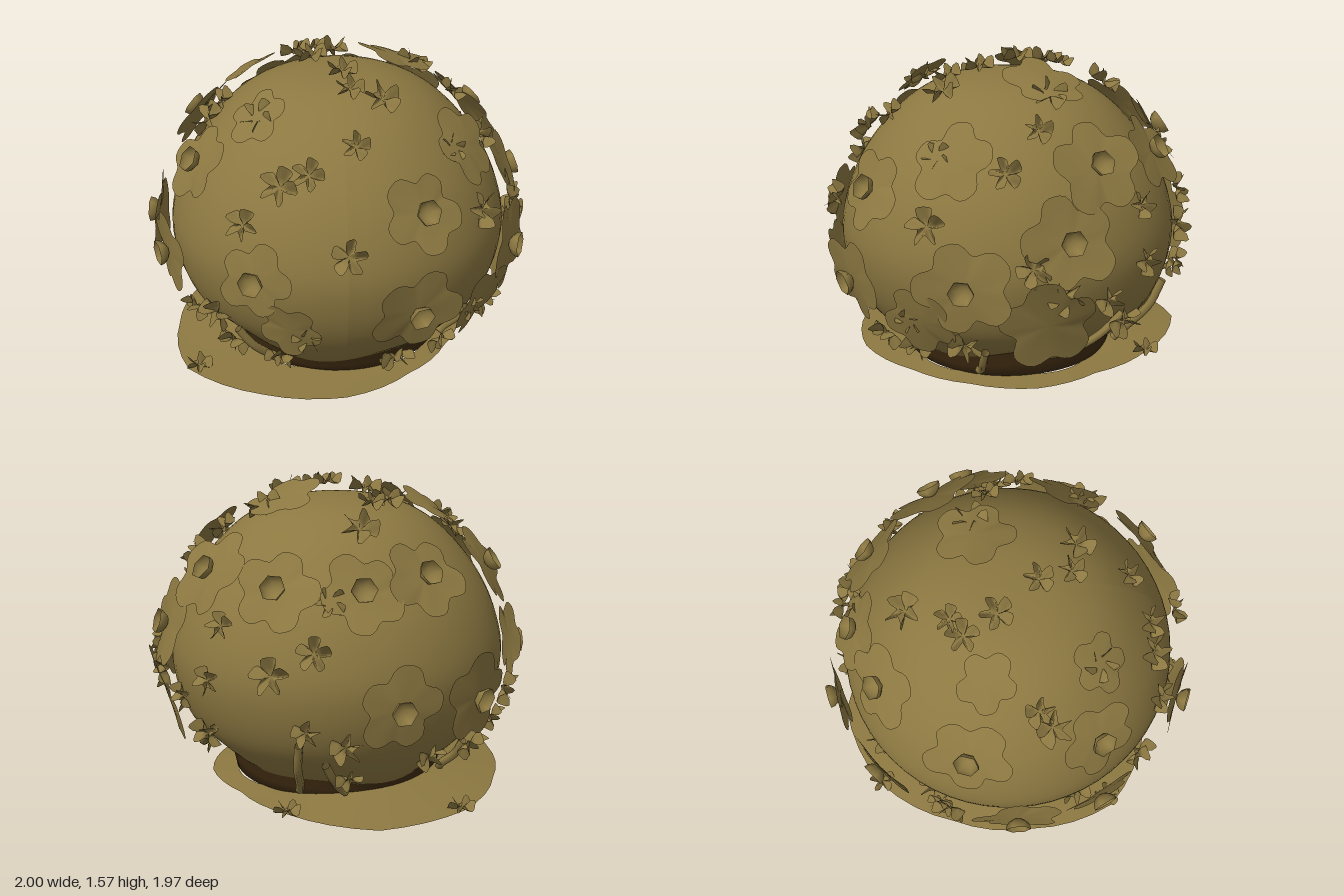
import * as THREE from 'three';

const olive = new THREE.MeshStandardMaterial({ name: 'olive gold', color: 0x8c7841, side: THREE.DoubleSide });
const soil = new THREE.MeshStandardMaterial({ name: 'dark soil', color: 0x402c11, side: THREE.DoubleSide });

// Dome profile (radius, height), bottom to top
const profile = new THREE.SplineCurve([
  [0.58, 0.13], [0.67, 0.21], [0.79, 0.36], [0.86, 0.55], [0.87, 0.75], [0.795, 0.99],
  [0.66, 1.2], [0.48, 1.37], [0.26, 1.465], [0, 1.49],
].map(p => new THREE.Vector2(...p))).getPoints(45);
profile.at(-1).x = 0;

// Radius and outward slope of the dome at a height
function slice(y) {
  let i = profile.findIndex(p => p.y >= y);
  if (i < 0) i = profile.length - 1;
  i = Math.max(i, 1);
  const a = profile[i - 1], b = profile[i];
  const t = THREE.MathUtils.clamp((y - a.y) / (b.y - a.y), 0, 1);
  const n = new THREE.Vector2(b.y - a.y, a.x - b.x).normalize();
  return { r: a.x + (b.x - a.x) * t, n };
}

function surface(az, y, off) {
  const { r, n } = slice(y);
  const normal = new THREE.Vector3(n.x * Math.sin(az), n.y, n.x * Math.cos(az));
  const point = new THREE.Vector3(r * Math.sin(az), y, r * Math.cos(az)).addScaledVector(normal, off);
  return { point, normal };
}

// Placement helpers, each giving [azimuth, height on the dome] under a floating flower
const foot = y => y - 0.06 * slice(y).n.y;
const ratio = (v, y) => THREE.MathUtils.clamp(v / (slice(foot(y)).r + 0.06 * slice(y).n.x), -1, 1);
const front = (x, y) => [Math.asin(ratio(x, y)), foot(y)];
const back = (x, y) => [Math.PI - Math.asin(ratio(x, y)), foot(y)];
const side = (z, y) => [Math.acos(ratio(z, y)), foot(y)];
function top(x, z) {
  const r = Math.hypot(x, z) * 0.91;
  const p = profile.find(q => q.y > 0.76 && q.x <= r) || profile.at(-1);
  return [Math.atan2(x, z), p.y];
}

// Five-petalled sheet facing +z: outline(angle) is the rim, height(t, angle) the folding
function petals(outline, height, rings, segments) {
  const pos = [0, 0, height(0, 0)], idx = [];
  for (let k = 1; k <= rings; k++) {
    for (let j = 0; j < segments; j++) {
      const a = (j / segments) * Math.PI * 2, t = k / rings, r = t * outline(a);
      pos.push(r * Math.cos(a), r * Math.sin(a), height(t, a));
      const n = (j + 1) % segments, o = 1 + (k - 1) * segments, i = o - segments;
      if (k === 1) idx.push(0, o + j, o + n);
      else idx.push(i + j, o + j, o + n, i + j, o + n, i + n);
    }
  }
  const g = new THREE.BufferGeometry();
  g.setAttribute('position', new THREE.Float32BufferAttribute(pos, 3));
  g.setIndex(idx);
  g.computeVertexNormals();
  return g;
}

// 0 along each petal, 1 in the gap between two
const gap = a => 0.5 - 0.5 * Math.cos(5 * a);
const largePetals = petals(
  a => 1.03 - 0.28 * gap(a) ** 2 + 0.06 * Math.sin(2 * a),
  (t, a) => 0.06 * t * t * Math.sin(2 * a + 1) - 0.03 * t, 3, 50);
const smallPetals = petals(
  a => 1 - 0.6 * gap(a) ** 3,
  (t, a) => 0.26 * t * t + 0.36 * t * Math.sin(5 * a), 2, 40);

// Hexagonal cup in the middle of a large flower, open outward
const cup = new THREE.SphereGeometry(0.066, 6, 4, 0, Math.PI * 2, Math.PI / 2, Math.PI / 2);
cup.rotateX(Math.PI / 2).translate(0, 0, 0.066);

const large = [
  [front(-0.44, 0.73), 0.19], [front(0.33, 0.56), 0.23], [front(0.36, 1.03), 0.2],
  [front(-0.28, 0.47), 0.16], [front(0.68, 0.45), 0.2],
  [[1.13, 0.67], 0.24], [side(-0.1, 0.88), 0.23], [side(0, 0.47), 0.25],
  [side(0.4, 1.22), 0.2], [side(-0.28, 1.18), 0.24], [top(0.45, -0.66), 0.21],
  [top(0.36, -0.14), 0.2], [top(-0.45, -0.18), 0.15], [top(-0.75, -0.33), 0.22],
  [top(-0.3, -0.73), 0.21], [top(0.05, -0.8), 0.2], [top(-0.43, 0.4), 0.15],
  [[-1.13, 1.1], 0.2], [[-1.68, 0.67], 0.22], [[-1.2, 0.66], 0.2],
  [back(-0.53, 0.6), 0.22], [back(-0.1, 0.62), 0.21],
];
const plain = new Set([3, 4, 7, 8, 11, 12, 16]); // these carry a small blossom, not a cup

const small = [
  front(-0.5, 0.97), front(-0.32, 1.16), front(-0.18, 1.22), front(0.05, 1.33), front(0, 0.88),
  front(-0.64, 0.44), front(-0.2, 0.42), front(-0.33, 0.2), front(0.25, 0.2), front(-0.56, 0.18),
  front(0.63, 0.44), front(-0.76, 0.27),
  side(0.55, 0.94), side(0.17, 1.19), side(-0.52, 0.97), side(0.08, 0.77), side(-0.07, 0.62),
  side(-0.31, 0.55), side(-0.53, 0.7), side(-0.42, 0.38), side(0.38, 0.32), side(0.46, 1.24),
  side(0.58, 0.22),
  top(0, -0.55), top(-0.22, -0.27), top(-0.13, -0.36), top(-0.17, -0.1), top(0.44, -0.13),
  top(0.02, 0.22), top(0.05, 0.38), top(0.22, 0.42), top(-0.43, 0.4), top(0.63, -0.02),
  top(-0.62, 0.06), top(-0.7, 0.12),
  back(0.3, 0.9), back(0.34, 0.5), back(0.15, 0.42), back(0.5, 0.78), back(-0.3, 0.3),
  back(0.1, 0.2), back(-0.6, 0.25), back(-0.8, 0.52), back(-0.72, 0.38), back(0.2, 1.12),
];

// Flower head turned to face away from the dome
function flower(name, [az, y], size, off, geometry, spin) {
  const { point, normal } = surface(az, y, off);
  const g = new THREE.Group();
  g.name = name;
  g.position.copy(point);
  g.lookAt(point.clone().add(normal));
  const sheet = new THREE.Mesh(geometry, olive);
  sheet.name = 'petals';
  sheet.scale.setScalar(size);
  sheet.rotation.z = spin;
  g.add(sheet);
  return g;
}

// Lathe whose seam near y = 0.13 waves up and down, and whose foot waves in and out
function wavyLathe(points) {
  const g = new THREE.LatheGeometry(points, 60), p = g.attributes.position;
  for (let i = 0; i < p.count; i++) {
    const x = p.getX(i), y = p.getY(i), z = p.getZ(i), a = Math.atan2(x, z);
    const weight = Math.max(0, y < 0.13 ? (y - 0.02) / 0.11 : (0.35 - y) / 0.22);
    const s = y < 0.025 ? 1 + 0.06 * Math.sin(3 * a) + 0.04 * Math.sin(7 * a) : 1;
    p.setXYZ(i, x * s, y + weight * (0.01 - 0.03 * Math.cos(2 * a) + 0.015 * Math.sin(5 * a)), z * s);
  }
  g.computeVertexNormals();
  return g;
}

export function createModel() {
  const model = new THREE.Group();
  const add = (name, geometry, material) => {
    const m = new THREE.Mesh(geometry, material);
    m.name = name;
    model.add(m);
    return m;
  };

  // Hollow dome and the dark wavy band beneath it
  add('dome', wavyLathe(profile), olive);
  const bandShape = [[0.46, 0.02], [0.545, 0.026], [0.56, 0.075], [0.58, 0.13]].map(p => new THREE.Vector2(...p));
  add('soilBand', wavyLathe(bandShape), soil);

  // Irregular ground skirt, open in the middle and rising toward the dome at the back
  const rim = [0.68, 0.64, 0.67, 0.78, 0.84, 0.93, 0.87, 0.87, 0.94, 0.95, 0.78, 0.67];
  const skirt = new THREE.RingGeometry(0, 1, 48, 3).rotateX(-Math.PI / 2);
  const p = skirt.attributes.position;
  for (let i = 0; i < p.count; i++) {
    const ring = Math.floor(i / 49), j = i % 49;
    const a = (j / 48) * Math.PI * 2, s = ((48 - j) % 48) / 4, k = Math.floor(s);
    const outer = THREE.MathUtils.lerp(rim[k], rim[(k + 1) % 12], s - k);
    const r = THREE.MathUtils.lerp(0.54 + 0.02 * Math.sin(5 * a), outer, ring / 3);
    const rise = 0.012 + 0.045 * Math.max(0, -0.7 * Math.cos(a) + 0.7 * Math.sin(a));
    p.setXYZ(i, r * Math.cos(a), 0.018 + rise * (1 - ring / 3), -r * Math.sin(a));
  }
  skirt.computeVertexNormals();
  add('groundSkirt', skirt, olive);

  // Large flat flowers
  large.forEach(([place, size], i) => {
    const f = flower('largeFlower', place, size, 0.07, largePetals, i * 2.4);
    if (!plain.has(i)) {
      const c = new THREE.Mesh(cup, olive);
      c.name = 'flowerCup';
      c.scale.z = 0.9;
      f.add(c);
    }
    model.add(f);
  });

  // Small folded blossoms
  small.forEach((place, i) => {
    model.add(flower('smallBlossom', place, 0.084 + 0.012 * Math.sin(i * 1.7), 0.05, smallPetals, i * 1.3));
  });

  // Blossoms at the tips of the skirt
  for (const [x, z] of [[-0.75, 0.45], [-0.46, -0.8], [0.4, -0.66]]) {
    const b = add('skirtBlossom', smallPetals, olive);
    b.position.set(x, 0.03, z);
    b.rotation.x = -Math.PI / 2;
    b.scale.setScalar(0.07);
  }

  // Stems lying on the dome: [azimuth, height] at the start and at the end
  const stems = [
    [-0.55, 0.09, -0.75, 0.33], [1.57, 0.22, 2.1, 0.42], [1.1, 0.09, 1.2, 0.26],
    [2.6, 0.09, 2.7, 0.42], [3.0, 0.09, 2.85, 0.3], [-2.2, 0.09, -2.3, 0.28],
  ];
  for (const [a, y0, b, y1] of stems) {
    const points = [0, 0.35, 0.7, 1].map(t => surface(
      a + (b - a) * t, y0 + (y1 - y0) * t ** 1.4, 0.02 + 0.025 * Math.sin(t * Math.PI)).point);
    add('stem', new THREE.TubeGeometry(new THREE.CatmullRomCurve3(points), 12, 0.022, 6), olive);
  }
  return model;
}
